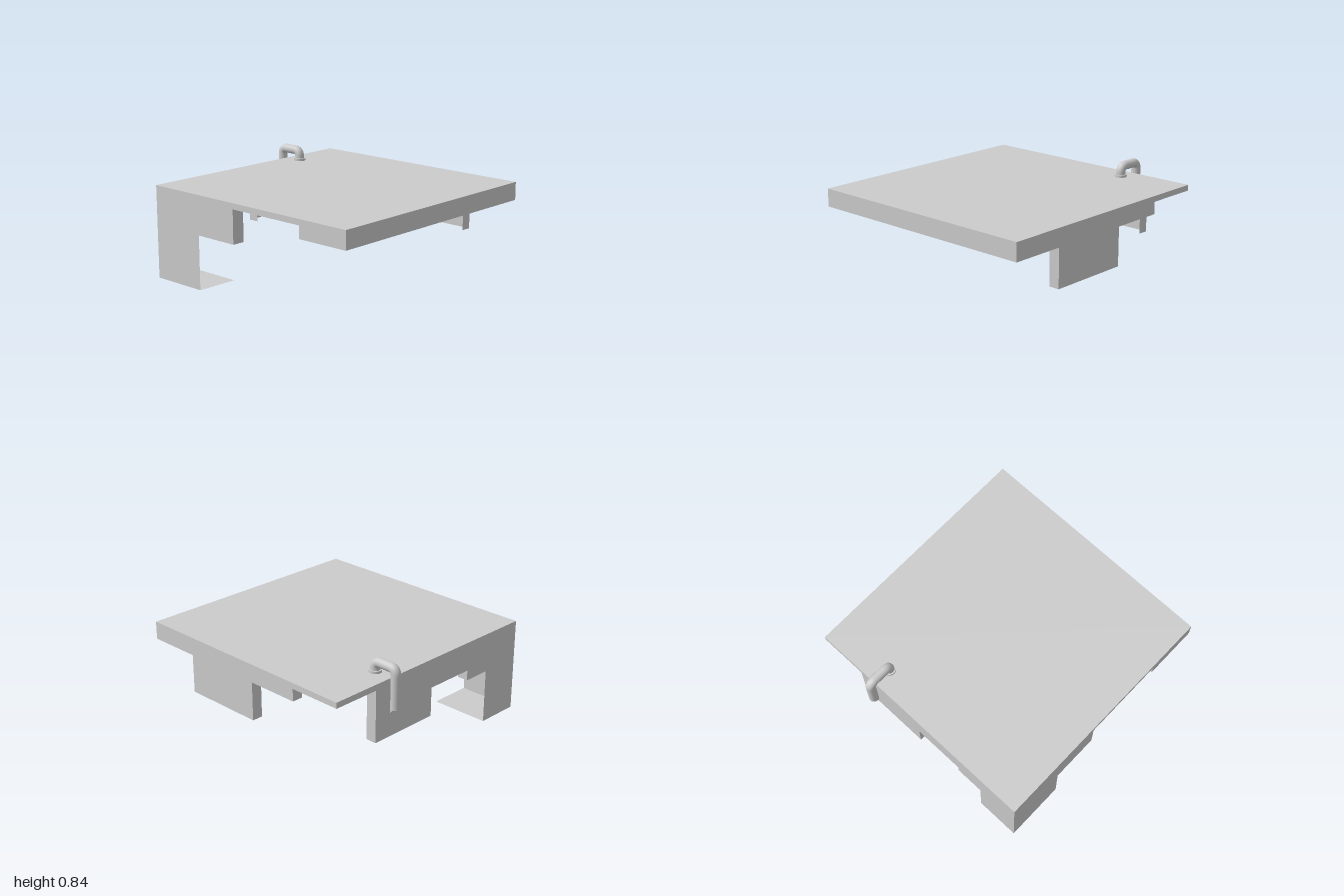
import * as THREE from 'three';

const material = new THREE.MeshStandardMaterial({ color: 0xcccccc, side: THREE.DoubleSide });
const L = -0.92, R = 1, B = -0.96, F = 0.96, TOP = 0.725, RIM = 0.585, LIP = 0.68;
const D = 0.085; // depth of the folded edges

// Flat sheet: a 2D outline placed in space on one of the three planes
const planes = {
  x: (u, v, at) => [at, v, u], // outline in (z, y)
  y: (u, v, at) => [u, at, v], // outline in (x, z)
  z: (u, v, at) => [u, v, at], // outline in (x, y)
};
function sheet(name, axis, at, points) {
  const geo = new THREE.ShapeGeometry(new THREE.Shape(points.map(([u, v]) => new THREE.Vector2(u, v))));
  const p = geo.attributes.position;
  for (let i = 0; i < p.count; i++) p.setXYZ(i, ...planes[axis](p.getX(i), p.getY(i), at));
  geo.computeVertexNormals();
  const mesh = new THREE.Mesh(geo, material);
  mesh.name = name;
  return mesh;
}
const rect = (u0, u1, v0, v1) => [[u0, v0], [u1, v0], [u1, v1], [u0, v1]];

function createPipe() {
  const pipe = new THREE.Group();
  pipe.name = 'overflowPipe';
  const r = 0.036, x0 = -0.963, x1 = -0.771, y0 = 0.495, y1 = 0.805, bend = 0.05, z = -0.43;
  const v = (x, y) => new THREE.Vector3(x, y, z);
  const path = new THREE.CurvePath();
  path.add(new THREE.LineCurve3(v(x0, y0), v(x0, y1 - bend)));
  path.add(new THREE.QuadraticBezierCurve3(v(x0, y1 - bend), v(x0, y1), v(x0 + bend, y1)));
  path.add(new THREE.LineCurve3(v(x0 + bend, y1), v(x1 - bend, y1)));
  path.add(new THREE.QuadraticBezierCurve3(v(x1 - bend, y1), v(x1, y1), v(x1, y1 - bend)));
  path.add(new THREE.LineCurve3(v(x1, y1 - bend), v(x1, TOP)));
  const tube = new THREE.TubeGeometry(path, 64, r, 24);
  // Slant the open end at 45 degrees
  const p = tube.attributes.position;
  for (let i = 0; i <= 24; i++) p.setY(i, y0 - (p.getX(i) - x0));
  const body = new THREE.Mesh(tube, material);
  body.name = 'bentPipe';

  const capGeo = new THREE.CircleGeometry(r, 24).rotateX(Math.PI / 2);
  const c = capGeo.attributes.position;
  for (let i = 0; i < c.count; i++) c.setY(i, -c.getX(i));
  capGeo.computeVertexNormals();
  const cap = new THREE.Mesh(capGeo, material);
  cap.name = 'pipeEnd';
  cap.position.set(x0, y0, z);

  const collar = new THREE.Mesh(new THREE.CylinderGeometry(0.047, 0.047, 0.018, 32), material);
  collar.name = 'pipeCollar';
  collar.position.set(x1, TOP + 0.009, z);
  pipe.add(body, cap, collar);
  return pipe;
}

export function createModel() {
  const model = new THREE.Group();
  model.name = 'cover';

  // Top sheet and the four stepped skirts
  model.add(sheet('top', 'y', TOP, rect(L, R, B, F)));
  model.add(sheet('frontSkirt', 'z', F, [
    [L, TOP], [L, 0], [-0.45, 0], [-0.45, 0.42], [-0.08, 0.42], [-0.08, LIP],
    [0.575, LIP], [0.575, RIM], [R, RIM], [R, TOP]]));
  model.add(sheet('backSkirt', 'z', B, [
    [R, TOP], [R, RIM], [0.575, RIM], [0.575, 0.285], [-0.08, 0.285], [-0.08, RIM],
    [-0.5, RIM], [-0.5, LIP], [L, LIP], [L, TOP]]));
  model.add(sheet('rightSkirt', 'x', L, [
    [B, TOP], [B, LIP], [-0.58, LIP], [-0.58, 0.275], [0, 0.275], [0, 0.5],
    [0.4, 0.5], [0.4, 0.42], [0.62, 0.42], [0.62, 0], [F, 0], [F, TOP]]));
  model.add(sheet('leftSkirt', 'x', R, rect(B, F, RIM, TOP)));

  // Foot plate closing the bottom of the corner leg
  model.add(sheet('footPlate', 'y', 0, rect(L, -0.45, 0.62, F)));

  // Horizontal folded edges: height, x range, z range
  const rims = [
    [RIM, R - D, R, B, F],
    [RIM, 0.575, R - D, F - D, F],
    [LIP, -0.08, 0.575, F - D, F],
    [RIM, 0.575, R - D, B, B + D],
    [RIM, -0.5, -0.08, B, B + D],
    [LIP, L, -0.5, B, B + D],
    [LIP, L, L + D, B + D, -0.58],
    [0.5, L, L + D, 0, 0.4],
  ];
  for (const [y, ...r] of rims) model.add(sheet('rim', 'y', y, rect(...r)));

  // Vertical folded edges beside the notches
  const flanges = [
    ['x', -0.08, F - 0.1, F, 0.42, LIP],
    ['x', 0.575, F - D, F, RIM, LIP],
    ['x', 0.575, B, B + D, 0.285, RIM],
    ['x', -0.08, B, B + D, 0.285, RIM],
    ['x', -0.5, B, B + D, RIM, LIP],
    ['z', -0.58, L, L + D, 0.275, LIP],
    ['z', 0, L, L + D, 0.275, 0.5],
    ['z', 0.4, L, L + D, 0.42, 0.5],
  ];
  for (const [axis, at, ...r] of flanges) model.add(sheet('flange', axis, at, rect(...r)));

  model.add(createPipe());
  return model;
}
